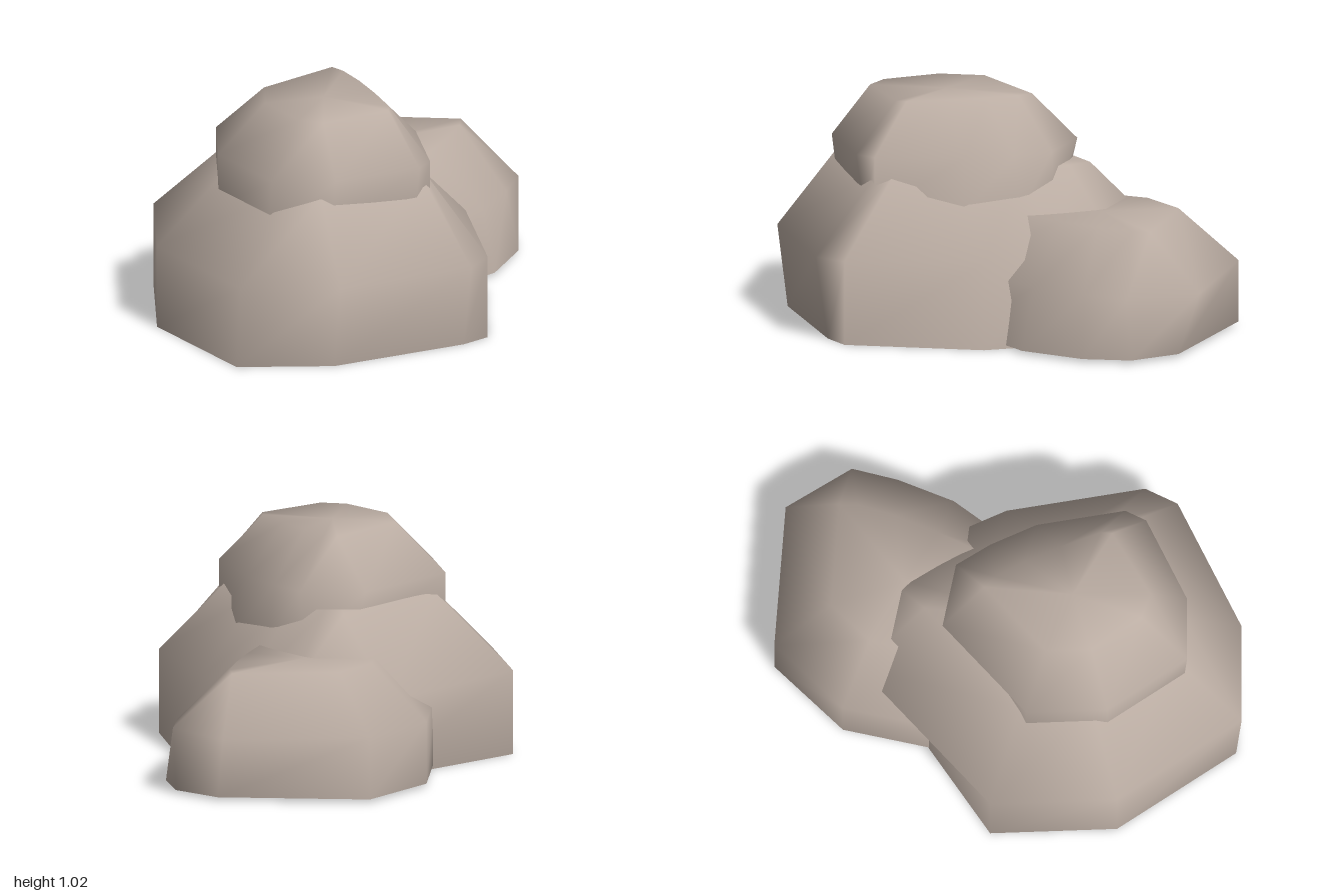
import * as THREE from 'three';

// Cross-sections of one boulder as [x, z], clockwise from above, with their heights
const RINGS = [
  { y: 0, points: [[-1, -0.09], [-0.7, -0.57], [0.2, -0.57], [0.46, -0.38], [0.54, -0.1],
    [0.49, 0.31], [0.15, 0.84], [0.01, 0.86], [-0.63, 0.78], [-1, 0.55]] },
  { y: 0.38, points: [[-1, -0.09], [-0.7, -0.57], [0.16, -0.69], [0.48, -0.36], [0.47, -0.08],
    [0.41, 0.27], [0.15, 0.84], [0.01, 0.92], [-0.63, 0.83], [-1, 0.58]] },
  { y: 0.72, points: [[-0.67, 0], [-0.5, -0.27], [0.13, -0.36], [0.15, -0.25], [0.13, -0.02],
    [0.08, 0.25], [0.01, 0.54], [-0.04, 0.6], [-0.56, 0.57], [-0.67, 0.42]] },
];

function boulderGeometry() {
  const n = RINGS[0].points.length;
  const positions = RINGS.flatMap(({ y, points }) => points.flatMap(([x, z]) => [x, y, z]));
  const index = [];

  // Sides between neighbouring rings, open underneath
  for (let r = 0; r < RINGS.length - 1; r++) {
    for (let j = 0; j < n; j++) {
      const a = r * n + j;
      const b = r * n + (j + 1) % n;
      index.push(b, a, a + n, b, a + n, b + n);
    }
  }

  // Flat top around a middle point
  const top = (RINGS.length - 1) * n;
  const middle = RINGS.length * n;
  positions.push(-0.26, RINGS[RINGS.length - 1].y, 0.12);
  for (let j = 0; j < n; j++) index.push(middle, top + (j + 1) % n, top + j);

  const geometry = new THREE.BufferGeometry();
  geometry.setAttribute('position', new THREE.Float32BufferAttribute(positions, 3));
  geometry.setIndex(index);
  geometry.computeVertexNormals();
  return geometry;
}

export function createModel() {
  const group = new THREE.Group();
  group.name = 'rockPile';
  const stone = new THREE.MeshStandardMaterial({ color: 0xbaaca2, side: THREE.DoubleSide });
  stone.name = 'stone';
  const geometry = boulderGeometry();

  function addBoulder(name, position, width, height, turn) {
    const mesh = new THREE.Mesh(geometry, stone);
    mesh.name = name;
    mesh.position.set(...position);
    mesh.scale.set(width, height, width);
    mesh.rotation.y = THREE.MathUtils.degToRad(turn);
    group.add(mesh);
  }

  addBoulder('largeBoulder', [0, 0, 0], 1, 1, 0);
  addBoulder('topBoulder', [-0.11, 0.555, 0.085], 0.64, 0.645, 0);
  addBoulder('sideBoulder', [0.54, 0.015, -0.246], 0.755, 0.736, -46.5);

  return group;
}
